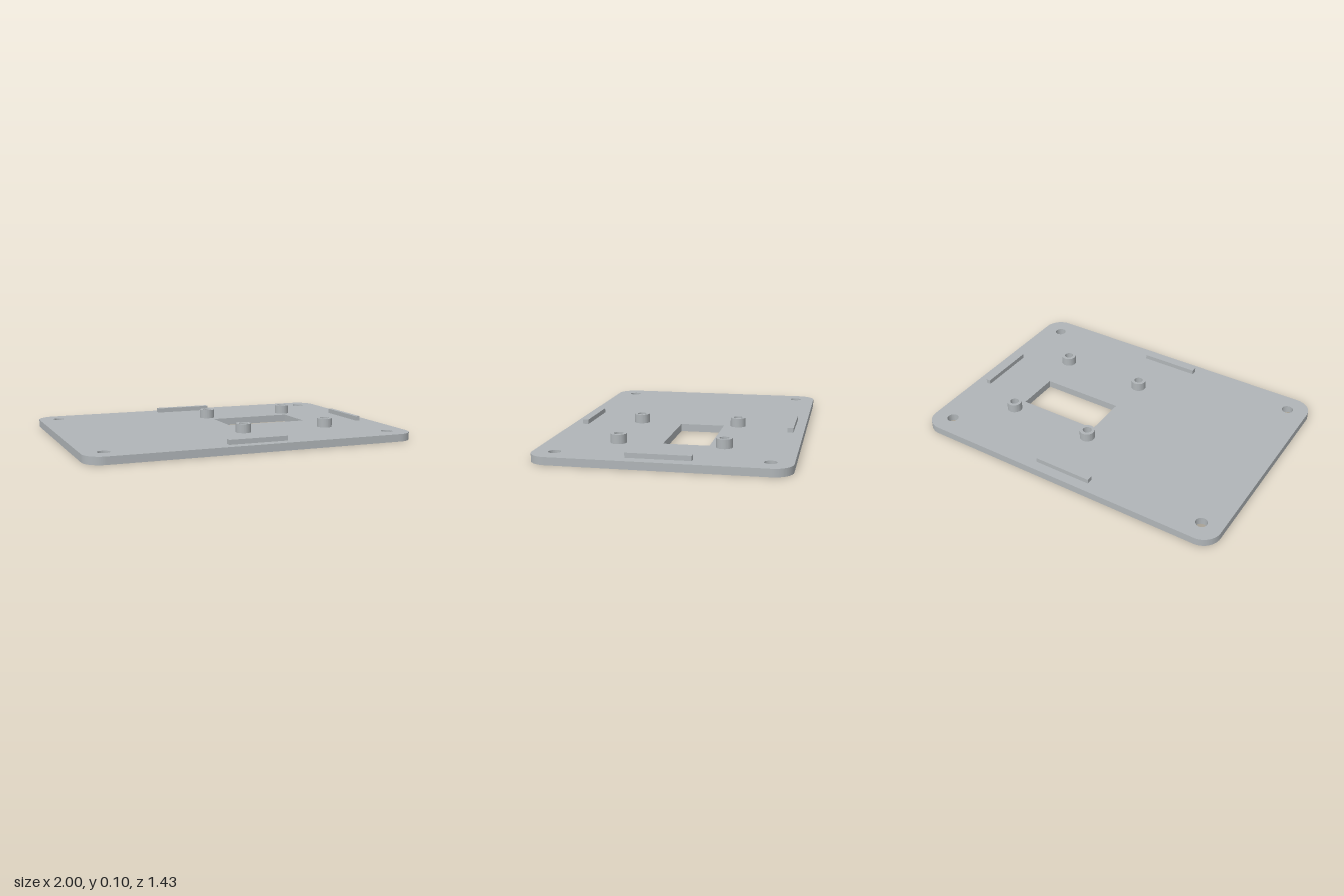
import * as THREE from 'three';
import { toCreasedNormals } from 'three/addons/utils/BufferGeometryUtils.js';

const W = 1, D = 0.714, T = 0.045, R = 0.11;
const BORE = 0.027;

// Circular hole; plan z is shape -y
function hole(x, z, r) {
  return new THREE.Path().absarc(x, -z, r, 0, Math.PI * 2, true);
}

// Extrudes a plan shape upwards with smooth curved walls
function slab(shape, height, y) {
  const geo = new THREE.ExtrudeGeometry(shape, { depth: height, bevelEnabled: false, curveSegments: 24 });
  geo.rotateX(-Math.PI / 2);
  geo.translate(0, y, 0);
  return toCreasedNormals(geo, 0.6);
}

export function createModel() {
  const group = new THREE.Group();
  const grey = new THREE.MeshStandardMaterial({ color: 0xb0b5b8 });
  grey.name = 'grey';
  const add = (name, geo) => {
    const mesh = new THREE.Mesh(geo, grey);
    mesh.name = name;
    group.add(mesh);
    return mesh;
  };

  const posts = [];
  for (const x of [0.055, 0.605]) for (const z of [-0.304, 0.304]) posts.push([x, z]);

  // Rounded base plate
  const plate = new THREE.Shape();
  plate.absarc(W - R, D - R, R, 0, Math.PI / 2);
  plate.absarc(-W + R, D - R, R, Math.PI / 2, Math.PI);
  plate.absarc(-W + R, -D + R, R, Math.PI, Math.PI * 1.5);
  plate.absarc(W - R, -D + R, R, Math.PI * 1.5, Math.PI * 2);
  plate.closePath();

  // Corner screw holes, post bores and the rectangular window
  for (const x of [-0.875, 0.875]) for (const z of [-0.59, 0.59]) plate.holes.push(hole(x, z, 0.035));
  for (const [x, z] of posts) plate.holes.push(hole(x, z, BORE));
  plate.holes.push(new THREE.Path([
    new THREE.Vector2(0.07, 0.217), new THREE.Vector2(0.588, 0.217),
    new THREE.Vector2(0.588, -0.05), new THREE.Vector2(0.07, -0.05),
  ]).closePath());
  add('basePlate', slab(plate, T, 0));

  // Hollow mounting posts
  for (const [x, z] of posts) {
    const ring = new THREE.Shape().absarc(x, -z, 0.046, 0, Math.PI * 2);
    ring.holes.push(hole(x, z, BORE));
    add('mountingPost', slab(ring, 0.054, T));
  }

  // Locating ribs along three edges
  const ribHeight = 0.028;
  for (const z of [-0.636, 0.636]) {
    add('sideRib', new THREE.BoxGeometry(0.36, ribHeight, 0.036)).position.set(0, T + ribHeight / 2, z);
  }
  add('endRib', new THREE.BoxGeometry(0.028, ribHeight, 0.364)).position.set(0.917, T + ribHeight / 2, 0);

  return group;
}
